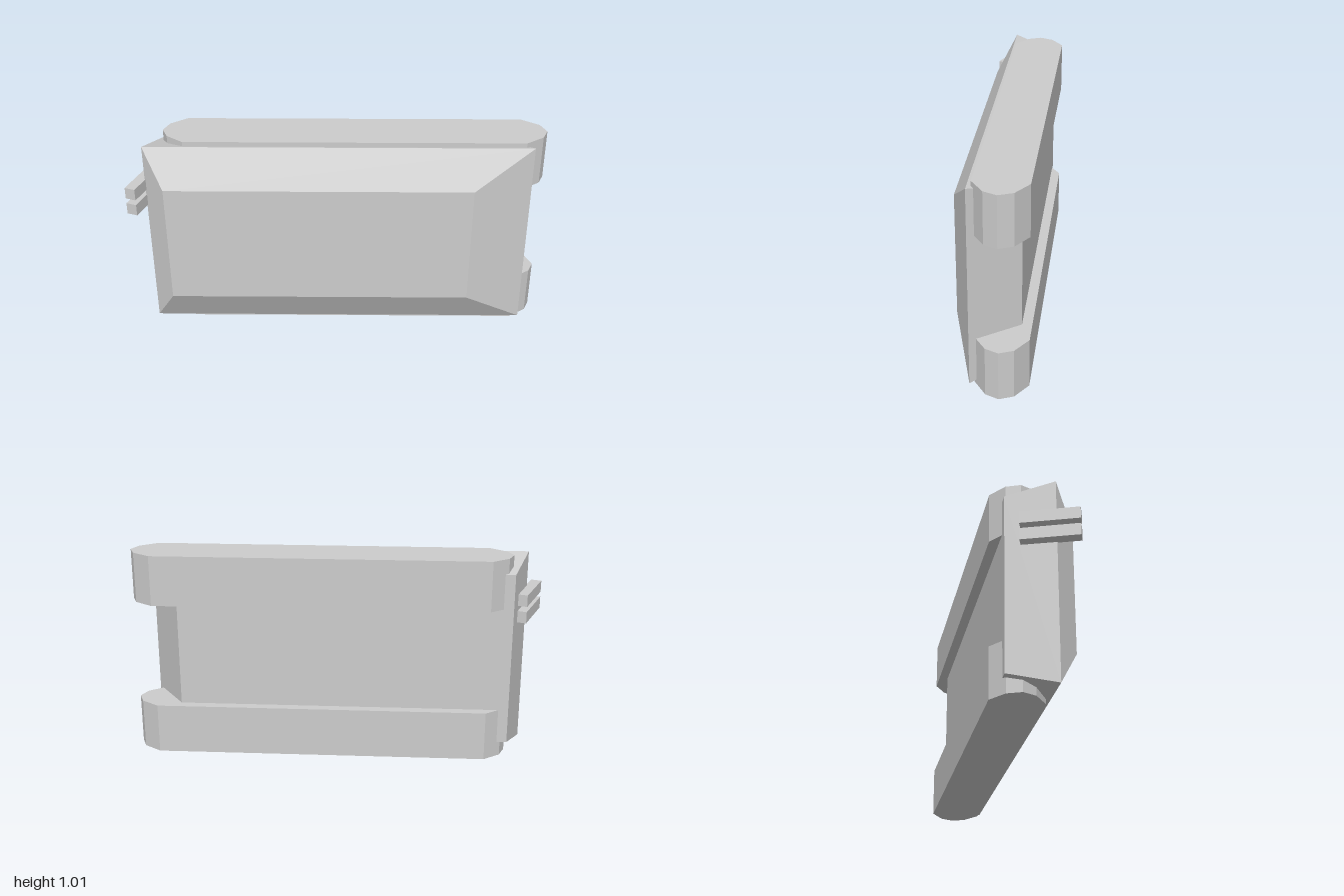
import * as THREE from 'three';

const material = new THREE.MeshStandardMaterial({ color: 0xcccccc, flatShading: true });

function addMesh(parent, geometry, name) {
  const mesh = new THREE.Mesh(geometry, material);
  mesh.name = name;
  parent.add(mesh);
  return mesh;
}

// Closed solid through rectangular sections, ordered from back (-z) to front (+z)
function loftRectangles(sections) {
  const positions = [];
  const index = [];
  for (const { z, x0, x1, y0, y1 } of sections) {
    positions.push(x0, y0, z, x1, y0, z, x1, y1, z, x0, y1, z);
  }
  for (let s = 0; s < sections.length - 1; s++) {
    for (let i = 0; i < 4; i++) {
      const a = s * 4 + i;
      const b = s * 4 + ((i + 1) % 4);
      index.push(a, b, b + 4, a, b + 4, a + 4);
    }
  }
  const f = (sections.length - 1) * 4;
  index.push(0, 2, 1, 0, 3, 2, f, f + 1, f + 2, f, f + 2, f + 3);
  const indexed = new THREE.BufferGeometry();
  indexed.setAttribute('position', new THREE.Float32BufferAttribute(positions, 3));
  indexed.setIndex(index);
  const geometry = indexed.toNonIndexed();
  geometry.computeVertexNormals();
  return geometry;
}

// Long pod with faceted round ends, outlined in x and z and extruded upwards
function podGeometry(height) {
  const outline = [
    [-0.73, 0.06], [0.885, 0.06], [0.97, 0], [0.997, -0.062], [0.97, -0.128],
    [0.885, -0.186], [-0.73, -0.186], [-0.81, -0.128], [-0.837, -0.062], [-0.81, 0],
  ];
  const shape = new THREE.Shape(outline.map(([x, z]) => new THREE.Vector2(x, -z)));
  const geometry = new THREE.ExtrudeGeometry(shape, { depth: height, bevelEnabled: false });
  geometry.rotateX(-Math.PI / 2);
  return geometry;
}

export function createModel() {
  const model = new THREE.Group();
  model.name = 'trackedHull';

  // Hull: tapered lower body, wide waist, sloped upper plates
  addMesh(model, loftRectangles([
    { z: -0.14, x0: -0.842, x1: 0.772, y0: 0.075, y1: 0.935 },
    { z: 0.077, x0: -0.92, x1: 0.924, y0: 0.018, y1: 0.992 },
    { z: 0.174, x0: -0.822, x1: 0.642, y0: 0.2, y1: 0.81 },
  ]), 'hull');

  // Track pods along both sides
  const pod = podGeometry(0.246);
  addMesh(model, pod, 'lowerTrack');
  addMesh(model, pod, 'upperTrack').position.y = 0.764;

  // Pair of slanted bars at the end of the hull
  const bar = new THREE.BoxGeometry(0.052, 0.057, 0.268);
  for (const [name, y] of [['lowerBar', 0.708], ['upperBar', 0.791]]) {
    const mesh = addMesh(model, bar, name);
    mesh.position.set(-0.93, y, 0.046);
    mesh.rotation.y = -0.353;
  }
  return model;
}
